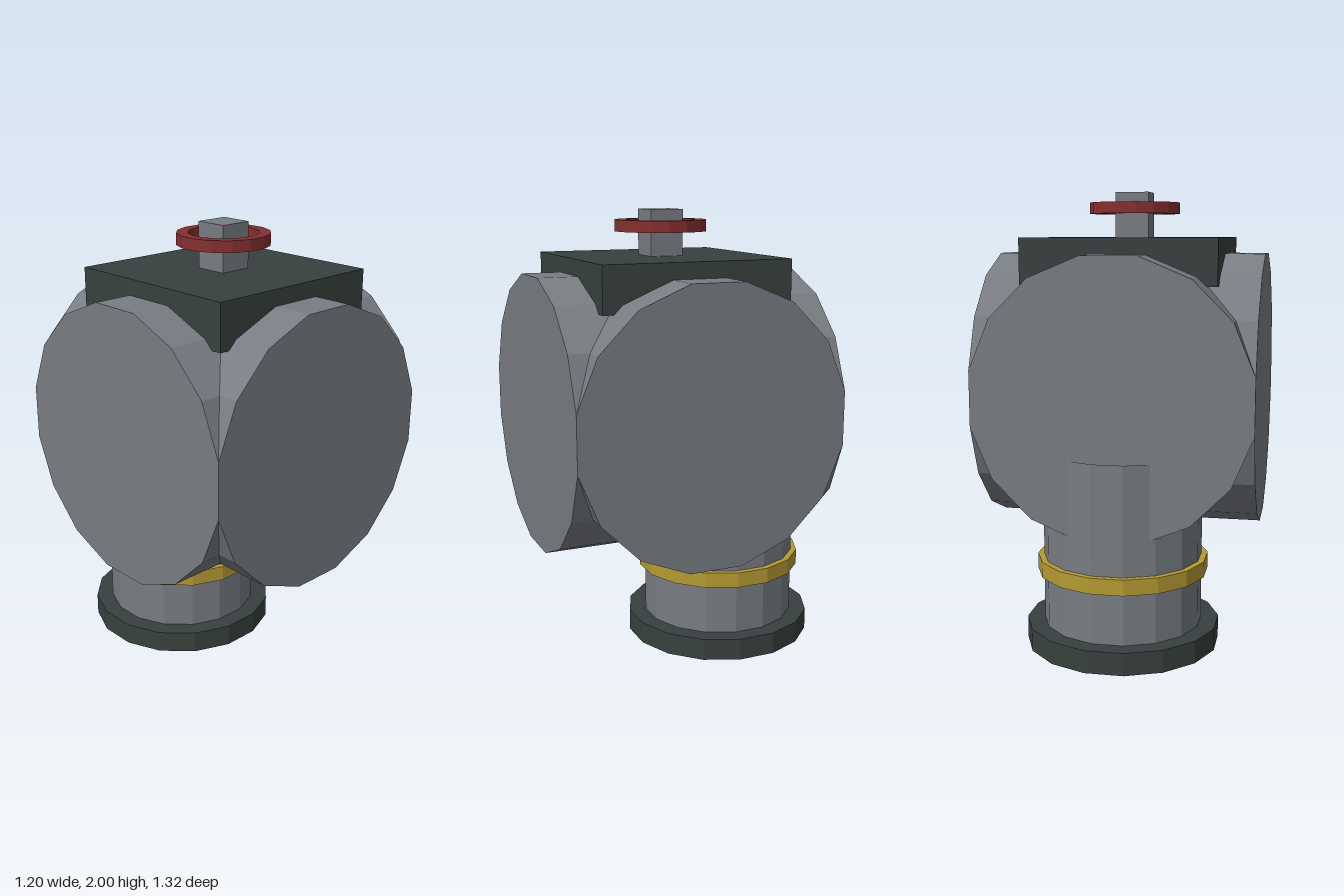
import * as THREE from 'three';

const SIDES = 16;
// Outer radius of a 16-gon whose flat sides lie at distance a
const fromFlat = (a) => a / Math.cos(Math.PI / SIDES);

// Give every face its own flat normal
function faceted(geometry) {
  const g = geometry.toNonIndexed();
  g.computeVertexNormals();
  return g;
}

function drum(a, length, open = false) {
  const r = fromFlat(a);
  return new THREE.CylinderGeometry(r, r, length, SIDES, 1, open).rotateY(Math.PI / SIDES);
}

// Flat ring of rectangular section standing on y = 0
function ring(inner, outer, height) {
  const i = fromFlat(inner), o = fromFlat(outer);
  const profile = [[i, 0], [o, 0], [o, height], [i, height], [i, 0]];
  return new THREE.LatheGeometry(profile.map(([x, y]) => new THREE.Vector2(x, y)), SIDES)
    .rotateY(Math.PI / SIDES);
}

export function createModel() {
  const steel = new THREE.MeshStandardMaterial({ color: 0x787d83, side: THREE.DoubleSide });
  steel.name = 'steel grey';
  const dark = new THREE.MeshStandardMaterial({ color: 0x38413f });
  dark.name = 'dark green grey';
  const brass = new THREE.MeshStandardMaterial({ color: 0xb59a34 });
  brass.name = 'brass';
  const red = new THREE.MeshStandardMaterial({ color: 0x862f31 });
  red.name = 'red';

  const model = new THREE.Group();
  model.name = 'valve';
  const add = (name, geometry, material, y, z) => {
    const mesh = new THREE.Mesh(faceted(geometry), material);
    mesh.name = name;
    mesh.position.set(0, y, z);
    model.add(mesh);
  };

  const bodyZ = 0.06, pipeZ = -0.235;

  // Body: two crossing drums
  add('bodyLengthwise', drum(0.6, 1.2).rotateX(Math.PI / 2), steel, 1.13, bodyZ);
  add('bodyCrosswise', drum(0.6, 1.2).rotateZ(Math.PI / 2), steel, 1.13, bodyZ);

  // Cap, stem and hand wheel
  add('capBlock', new THREE.BoxGeometry(0.85, 0.2, 0.85), dark, 1.7, bodyZ);
  add('stem', new THREE.BoxGeometry(0.15, 0.22, 0.15), steel, 1.89, bodyZ);
  add('handWheel', ring(0.15, 0.2, 0.05), red, 1.905, bodyZ);

  // Open outlet pipe with its collar and foot flange
  add('outletPipe', drum(0.348, 0.83, true), steel, 0.465, pipeZ);
  add('collar', ring(0.33, 0.375, 0.07), brass, 0.33, pipeZ);
  add('footFlange', ring(0.33, 0.425, 0.1), dark, 0, pipeZ);

  return model;
}
